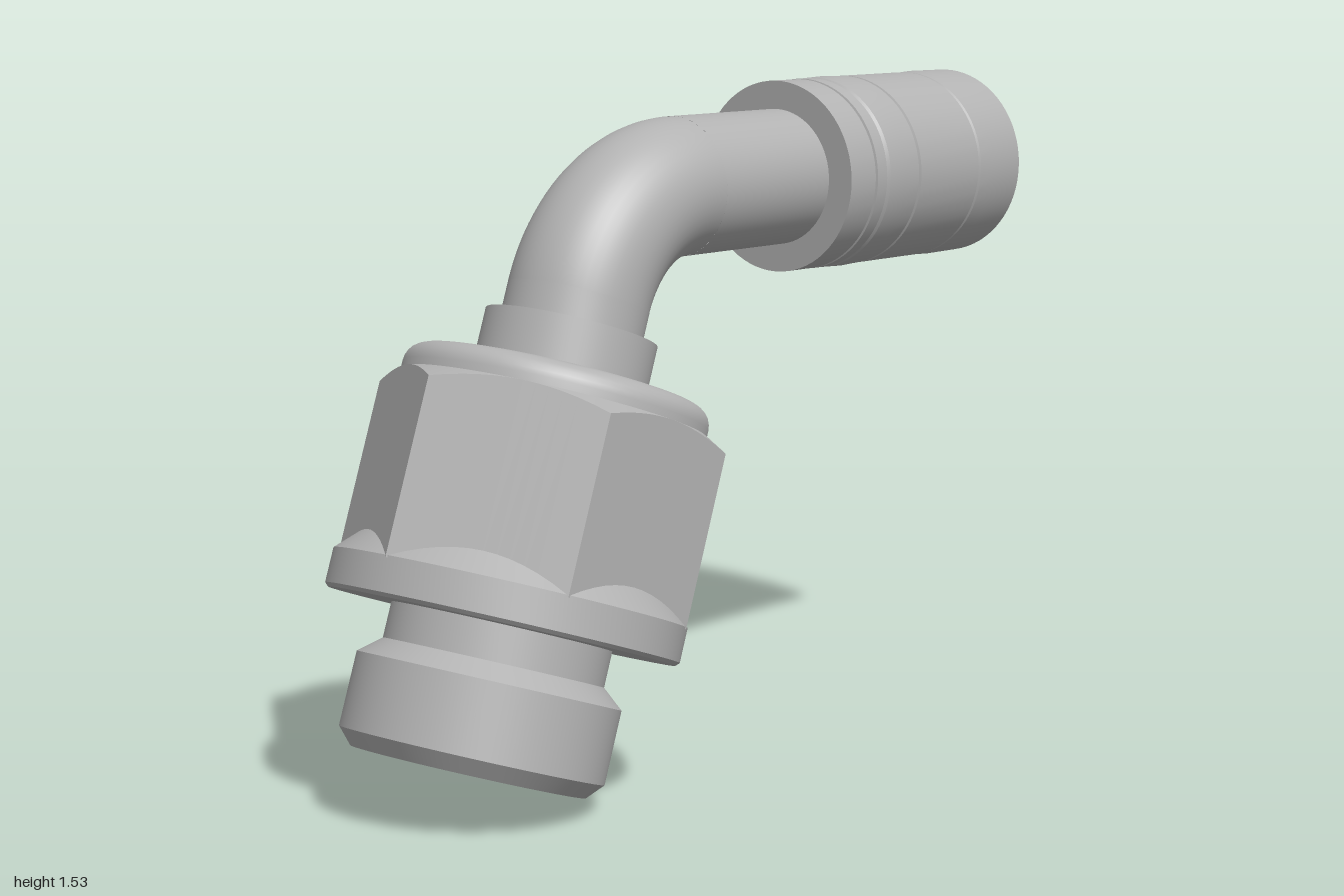
import * as THREE from 'three';
import { toCreasedNormals } from 'three/addons/utils/BufferGeometryUtils.js';

const TILT = THREE.MathUtils.degToRad(20);  // lean of the nut axis
const BEND = Math.PI / 2 - TILT;
const BASE = new THREE.Vector2(-0.737, 0.089); // centre of the bottom face
const AXIS_Y = 1.306;                       // height of the hose axis
const BEND_R = 0.34, TUBE_R = 0.159, BORE_R = 0.112;
const FLAT = 0.342;                         // hexagon apothem
const CORNER = FLAT / Math.cos(Math.PI / 6);

export function createModel() {
  const steel = new THREE.MeshStandardMaterial({ color: 0xb2b2b2, side: THREE.DoubleSide });
  steel.name = 'steel grey';
  const model = new THREE.Group();
  model.name = 'elbowFitting';

  const add = (parent, name, geometry) => {
    const mesh = new THREE.Mesh(geometry, steel);
    mesh.name = name;
    parent.add(mesh);
    return mesh;
  };
  // profile points are [radius, distance along axis]
  const lathe = (points) => toCreasedNormals(
    new THREE.LatheGeometry(points.map(([r, y]) => new THREE.Vector2(r, y)), 72), 0.45);
  // quarter-round edge from the side of a cylinder to its end
  const round = (r, y, size, n = 6) => Array.from({ length: n + 1 }, (_, i) => {
    const a = (i / n) * Math.PI / 2;
    return [r - size + size * Math.cos(a), y - size + size * Math.sin(a)];
  });

  // Where the bend meets the two straight axes
  const tangent = BEND_R * Math.tan(BEND / 2);
  const cornerS = (AXIS_Y - BASE.y) / Math.cos(TILT);
  const bendEndX = BASE.x + cornerS * Math.sin(TILT) + tangent;
  const bendStartS = cornerS - tangent;

  // Tilted connector, modelled upright along its own axis
  const connector = new THREE.Group();
  connector.name = 'connector';
  connector.position.set(BASE.x, BASE.y, 0);
  connector.rotation.z = -TILT;
  model.add(connector);

  add(connector, 'threadedEnd', lathe([
    [0.148, 0], [0.26, 0], [0.293, 0.036], [0.293, 0.2], [0.245, 0.24], [0.245, 0.325],
  ]));
  add(connector, 'flange', lathe([
    [0.24, 0.32], [0.385, 0.32], [0.393, 0.328], [0.393, 0.405], [0.335, 0.463],
  ]));

  // Hexagon with corners cut by a cone
  const hexRadius = (a) => {
    const step = Math.PI / 3;
    const off = ((a % step) + step) % step - step / 2;
    return FLAT / Math.cos(off);
  };
  const hexTop = (r) => 0.788 + (CORNER - r) * 0.58;
  const hexBand = (rule) => {
    const g = new THREE.CylinderGeometry(1, 1, 1, 72, 1, true);
    const p = g.attributes.position;
    for (let i = 0; i < p.count; i++) {
      const a = Math.atan2(p.getZ(i), p.getX(i));
      const [r, y] = rule(hexRadius(a), p.getY(i) > 0);
      p.setXYZ(i, r * Math.cos(a), y, r * Math.sin(a));
    }
    return toCreasedNormals(g, 0.3);
  };
  add(connector, 'hexNut', hexBand((r, top) => [r, top ? hexTop(r) : 0.4]));
  add(connector, 'hexChamfer', hexBand((r, top) =>
    top ? [FLAT - 0.002, hexTop(FLAT - 0.002)] : [r, hexTop(r)]));

  add(connector, 'nutShoulder', lathe([[FLAT, 0.8], ...round(FLAT, 0.88, 0.045), [0.18, 0.88]]));
  add(connector, 'collar', lathe([[0.193, 0.87], [0.193, 0.99], [0.15, 0.99]]));
  add(connector, 'lowerTube', lathe([[TUBE_R, 0.98], [TUBE_R, bendStartS]]));
  add(connector, 'lowerBore', lathe([
    [BORE_R, bendStartS], [BORE_R, 0.55], [0.148, 0.5], [0.148, 0],
  ]));

  // Bent tube, outer wall and bore
  for (const [name, r] of [['elbow', TUBE_R], ['elbowBore', BORE_R]]) {
    const bend = add(model, name, new THREE.TorusGeometry(BEND_R, r, 48, 40, BEND));
    bend.position.set(bendEndX, AXIS_Y - BEND_R, 0);
    bend.rotation.z = Math.PI / 2;
  }

  // Hose end, with its own y axis running along +x
  const hoseEnd = new THREE.Group();
  hoseEnd.name = 'hoseEnd';
  hoseEnd.position.y = AXIS_Y;
  hoseEnd.rotation.z = -Math.PI / 2;
  model.add(hoseEnd);

  add(hoseEnd, 'upperTube', lathe([[TUBE_R, bendEndX], [TUBE_R, 0.33]]));
  add(hoseEnd, 'ferrule', lathe([
    [0.15, 0.315], [0.225, 0.315], [0.225, 0.408],
    [0.221, 0.41], [0.221, 0.414], [0.226, 0.416], [0.226, 0.452],
    [0.221, 0.454], [0.221, 0.458], [0.227, 0.465], [0.229, 0.52], [0.227, 0.578],
    [0.222, 0.58], [0.222, 0.585], [0.227, 0.588], [0.227, 0.826],
    [0.222, 0.829], [0.222, 0.834], [0.226, 0.838], [0.229, 0.88], [0.228, 1],
    [0.224, 1], [0.206, 0.8], [0.14, 0.8],
  ]));
  add(hoseEnd, 'nipple', lathe([
    [0.145, 0.79], ...round(0.145, 0.985, 0.024), [BORE_R, 0.975], [BORE_R, bendEndX],
  ]));

  return model;
}
